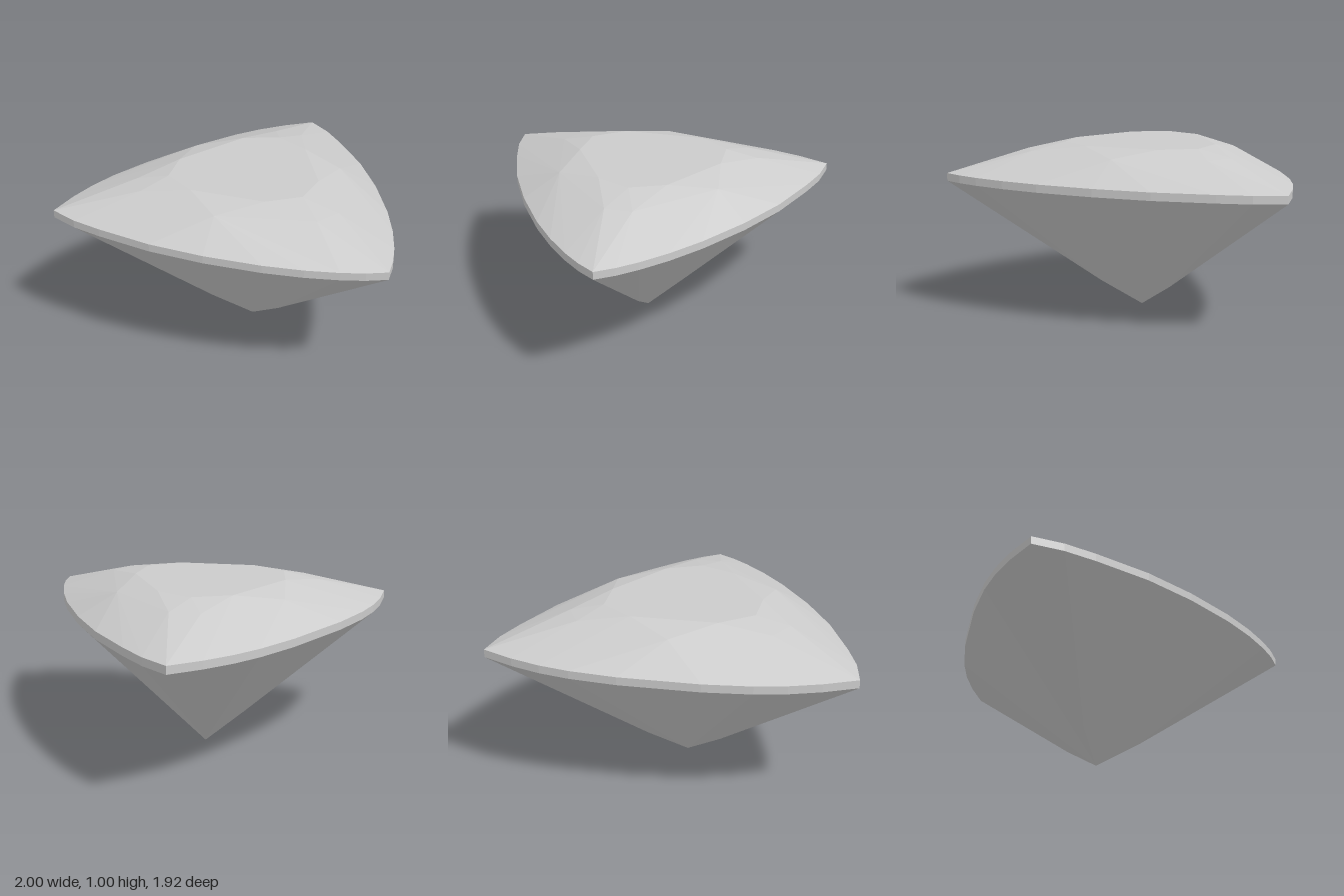
import * as THREE from 'three';
import { ConvexGeometry } from 'three/addons/geometries/ConvexGeometry.js';

const GIRDLE_TOP = 0.83, GIRDLE_BOTTOM = 0.785, CENTRE_Z = -0.19;

// Rounded triangle outline, right half as [x, z], front corner to back
const OUTLINE = [
  [0, 0.96], [0.1, 0.89], [0.2, 0.8], [0.33, 0.66], [0.47, 0.48], [0.65, 0.2], [0.8, -0.09],
  [0.92, -0.41], [0.975, -0.59], [1, -0.77], [0.82, -0.85], [0.65, -0.905], [0.48, -0.94], [0.22, -0.965],
];
// Flat table on top, right half
const TABLE = [[0, 0.27], [0.2, 0.18], [0.43, -0.2], [0.42, -0.43], [0.24, -0.57]];
// Facet corners between table and girdle, right half
const CROWN_RING = [[0.08, 0.48], [0.47, 0.07], [0.61, -0.44], [0.53, -0.59], [0, -0.74]];

// Lift a half outline to height y and mirror it across x = 0
function ring(half, y) {
  return half.flatMap(([x, z]) => {
    const p = new THREE.Vector3(x, y, z);
    return x === 0 ? [p] : [p, new THREE.Vector3(-x, y, z)];
  });
}

export function createModel() {
  const group = new THREE.Group();
  group.name = 'gem';

  const points = [
    ...ring(TABLE, 1),
    ...ring(CROWN_RING, 0.958),
    ...ring(OUTLINE, GIRDLE_TOP),
    ...ring(OUTLINE, GIRDLE_BOTTOM),
    new THREE.Vector3(0, 0, CENTRE_Z), // culet
  ];
  // Slight break in the three corner ribs just above the culet
  for (let i = 0; i < 3; i++) {
    const a = (i * Math.PI * 2) / 3;
    points.push(new THREE.Vector3(0.25 * Math.sin(a), 0.155, CENTRE_Z + 0.25 * Math.cos(a)));
  }

  // The cut stone is convex: sort its facets into crown, girdle and pavilion
  const pos = new ConvexGeometry(points).getAttribute('position');
  const parts = { crown: [], girdle: [], pavilion: [] };
  for (let i = 0; i < pos.count; i += 3) {
    const ys = [0, 1, 2].map((k) => pos.getY(i + k));
    const name = Math.min(...ys) > GIRDLE_TOP - 0.001 ? 'crown'
      : Math.max(...ys) < GIRDLE_BOTTOM + 0.001 ? 'pavilion' : 'girdle';
    for (let k = 0; k < 3; k++) parts[name].push(pos.getX(i + k), pos.getY(i + k), pos.getZ(i + k));
  }

  const material = new THREE.MeshStandardMaterial({ color: 0xcccccc, flatShading: true });
  for (const [name, verts] of Object.entries(parts)) {
    const geometry = new THREE.BufferGeometry();
    geometry.setAttribute('position', new THREE.Float32BufferAttribute(verts, 3));
    geometry.computeVertexNormals();
    const mesh = new THREE.Mesh(geometry, material);
    mesh.name = name;
    group.add(mesh);
  }
  return group;
}
